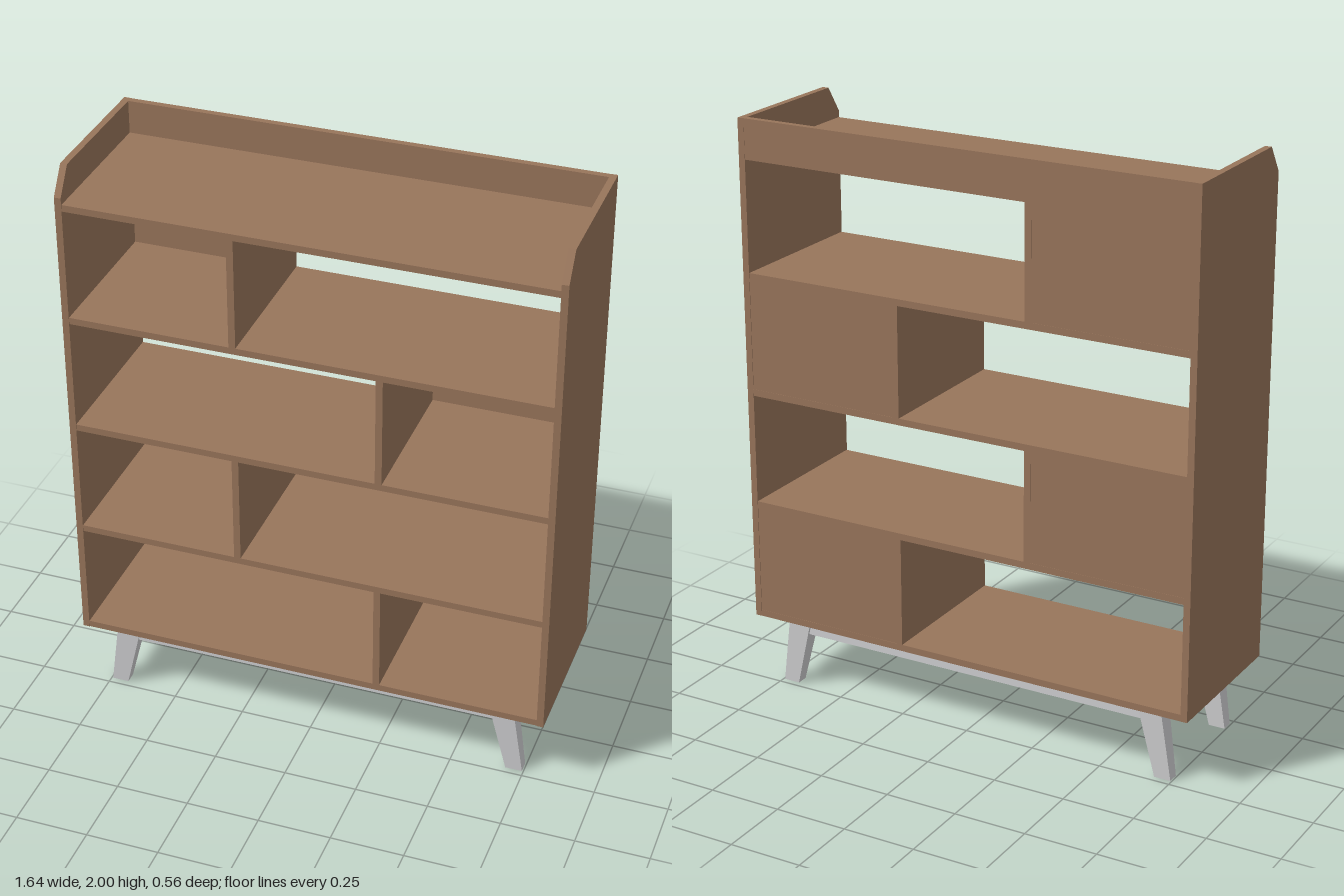
import * as THREE from 'three';

export function createModel() {
  const group = new THREE.Group();
  const wood = new THREE.MeshStandardMaterial({ color: 0x98755b });
  wood.name = 'brown wood';
  const metal = new THREE.MeshStandardMaterial({ color: 0xd0d0d2 });
  metal.name = 'light grey';

  const add = (name, geometry, material) => {
    const mesh = new THREE.Mesh(geometry, material);
    mesh.name = name;
    group.add(mesh);
    return mesh;
  };
  // Box given by its minimum and maximum on each axis
  const slab = (name, material, x0, x1, y0, y1, z0, z1) =>
    add(name, new THREE.BoxGeometry(x1 - x0, y1 - y0, z1 - z0), material)
      .position.set((x0 + x1) / 2, (y0 + y1) / 2, (z0 + z1) / 2);

  const T = 0.023, D = 0.278, inner = 0.798, outer = 0.821;
  const shelfY = [0.25, 0.653, 1.056, 1.46, 1.864];

  // Side panels with a chamfered front top corner (profile x = -z)
  const profile = new THREE.Shape([
    [-D, 0.25], [D, 0.25], [D, 2], [-0.218, 2], [-D, 1.91],
  ].map(([x, y]) => new THREE.Vector2(x, y)));
  for (const [name, x] of [['leftSide', inner], ['rightSide', -outer]]) {
    const geo = new THREE.ExtrudeGeometry(profile, { depth: outer - inner, bevelEnabled: false });
    geo.rotateY(Math.PI / 2);
    add(name, geo, wood).position.x = x;
  }

  // Shelves and the raised lip behind the top
  shelfY.forEach((y, i) =>
    slab('shelf' + (i + 1), wood, -inner, inner, y, y + T, -D + 0.001, D - 0.002));
  slab('backLip', wood, -inner, inner, 1.864 + T, 2, -D + 0.001, -D + T);

  // Alternating cubbies: a divider and a closed back in each row
  for (let i = 0; i < 4; i++) {
    const s = i % 2 ? -1 : 1;
    const y0 = shelfY[i] + T, y1 = shelfY[i + 1];
    const span = (a, b) => (s > 0 ? [a, b] : [-b, -a]);
    slab('divider' + (i + 1), wood, ...span(0.231, 0.254), y0, y1, -D + 0.001, D - 0.002);
    slab('backPanel' + (i + 1), wood, ...span(0.254, inner), y0, y1, -D + 0.002, -D + T);
  }

  // Splayed, tapered legs joined by a rail at front and back
  const legZ = 0.207;
  for (const sz of [1, -1]) {
    for (const sx of [1, -1]) {
      const geo = new THREE.BoxGeometry(1, 1, 1);
      const p = geo.attributes.position;
      for (let i = 0; i < p.count; i++) {
        const top = p.getY(i) > 0;
        const centre = sx * (top ? 0.667 : 0.716);
        p.setXYZ(i,
          centre + p.getX(i) * (top ? 0.084 : 0.058),
          top ? 0.25 : 0,
          sz * legZ + p.getZ(i) * (top ? 0.06 : 0.041));
      }
      geo.computeVertexNormals();
      add((sz > 0 ? 'front' : 'back') + (sx > 0 ? 'Left' : 'Right') + 'Leg', geo, metal);
    }
    slab(sz > 0 ? 'frontRail' : 'backRail', metal,
      -0.66, 0.66, 0.197, 0.25, sz * legZ - 0.02, sz * legZ + 0.02);
  }
  return group;
}
